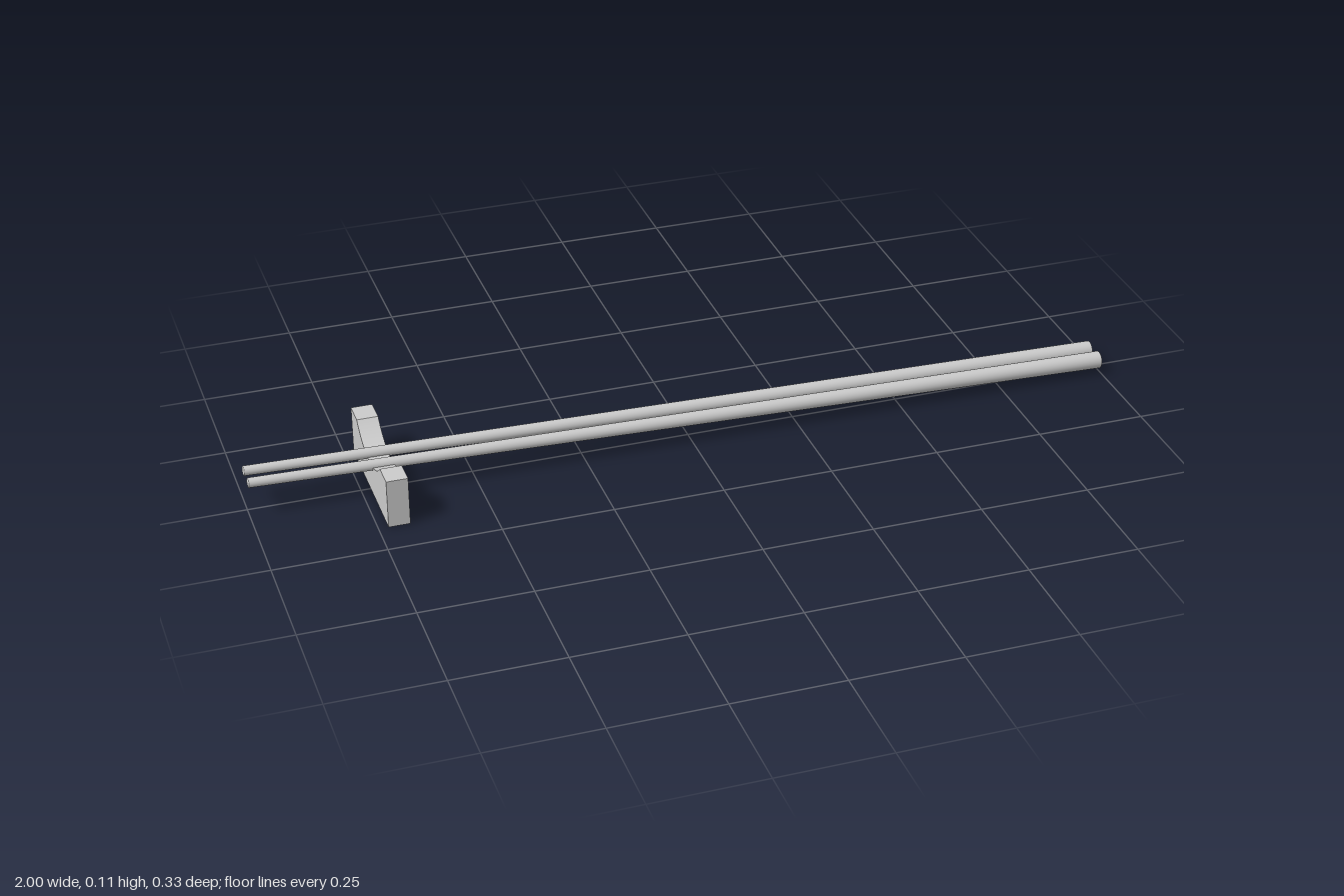
import * as THREE from 'three';

const material = new THREE.MeshStandardMaterial({ color: 0xcccccc });

// Tapered round stick from a thin tip to a thick end, with barely domed ends
function makeStick(name, tip, end, tipRadius, endRadius) {
  const group = new THREE.Group();
  group.name = name;
  const length = tip.distanceTo(end);
  const dome = 0.003;
  const shaft = new THREE.Mesh(
    new THREE.CylinderGeometry(endRadius, tipRadius, length, 32, 1, true), material);
  shaft.name = 'shaft';
  group.add(shaft);
  for (const [side, radius] of [[1, endRadius], [-1, tipRadius]]) {
    const geometry = new THREE.SphereGeometry(1, 32, 6, 0, Math.PI * 2, 0, Math.PI / 2);
    geometry.scale(radius, dome, radius);
    if (side < 0) geometry.rotateX(Math.PI);
    const cap = new THREE.Mesh(geometry, material);
    cap.name = side > 0 ? 'thickEnd' : 'thinTip';
    cap.position.y = side * length / 2;
    group.add(cap);
  }
  group.position.copy(tip).add(end).multiplyScalar(0.5);
  group.quaternion.setFromUnitVectors(
    new THREE.Vector3(0, 1, 0), end.clone().sub(tip).normalize());
  return group;
}

// Block with a shallow circular hollow in its top
function makeRest() {
  const halfWidth = 0.165, height = 0.113, thickness = 0.048;
  const hollow = 0.109, sag = 0.043;
  const radius = (hollow * hollow + sag * sag) / (2 * sag);
  const angle = Math.asin(hollow / radius);
  const shape = new THREE.Shape();
  shape.moveTo(-halfWidth, 0);
  shape.lineTo(halfWidth, 0);
  shape.lineTo(halfWidth, height);
  shape.lineTo(hollow, height);
  shape.absarc(0, height - sag + radius, radius, -Math.PI / 2 + angle, -Math.PI / 2 - angle, true);
  shape.lineTo(-halfWidth, height);
  shape.closePath();
  const geometry = new THREE.ExtrudeGeometry(shape,
    { depth: thickness, bevelEnabled: false, curveSegments: 24 });
  geometry.translate(0, 0, -thickness / 2);
  geometry.rotateY(Math.PI / 2);
  const rest = new THREE.Mesh(geometry, material);
  rest.name = 'stickRest';
  rest.position.x = -0.704;
  return rest;
}

export function createModel() {
  const model = new THREE.Group();
  model.name = 'sticksOnRest';
  model.add(makeRest());
  for (const [name, z] of [['frontStick', 0.0265], ['backStick', -0.025]]) {
    model.add(makeStick(name,
      new THREE.Vector3(-0.997, 0.083, z), new THREE.Vector3(0.997, 0.03, z), 0.011, 0.02));
  }
  return model;
}
